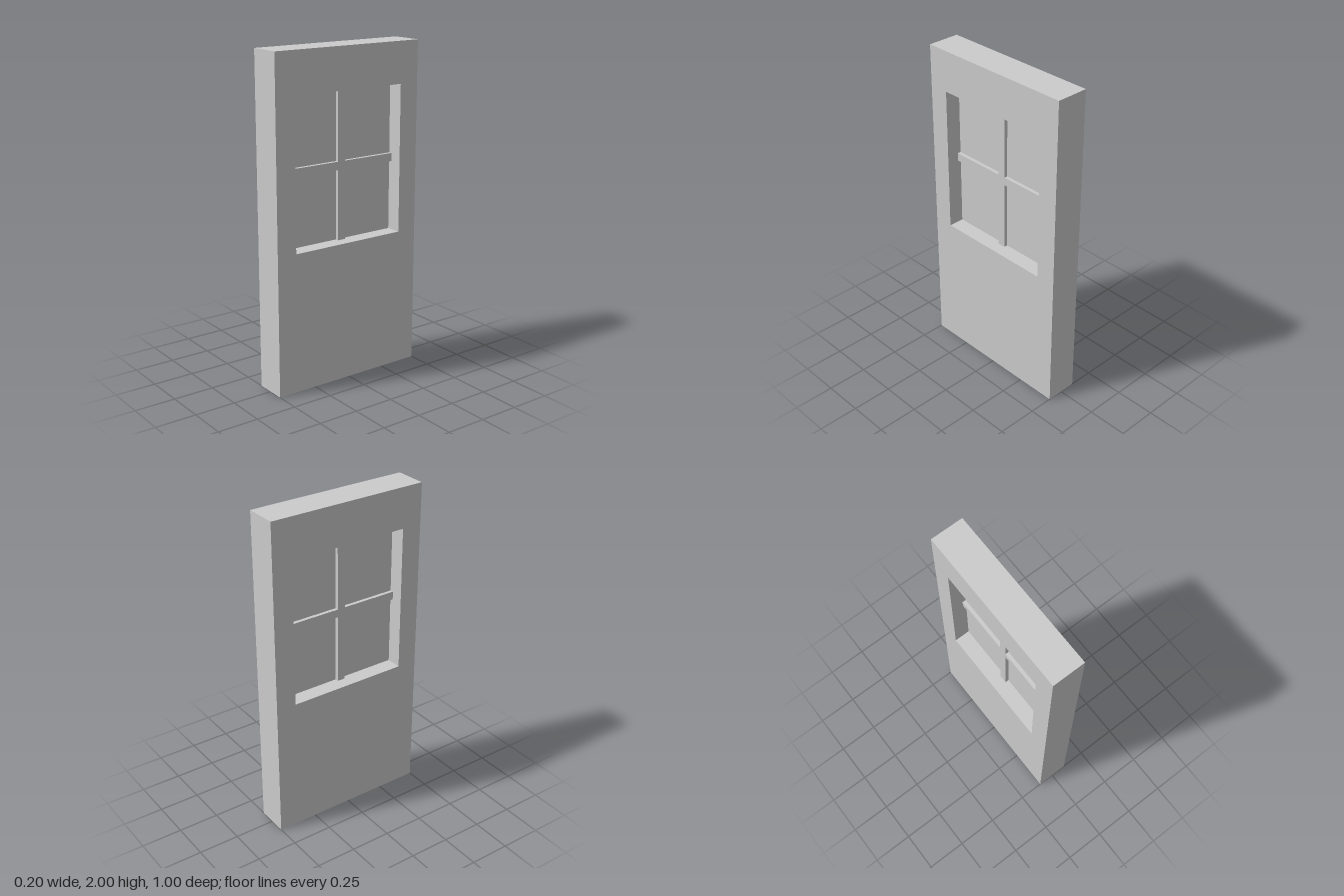
import * as THREE from 'three';

export function createModel() {
  const group = new THREE.Group();
  const material = new THREE.MeshStandardMaterial({ color: 0xcccccc, flatShading: true });

  const add = (name, geometry, y = 0) => {
    const mesh = new THREE.Mesh(geometry, material);
    mesh.name = name;
    mesh.position.y = y;
    group.add(mesh);
  };

  const rectangle = (target, halfWidth, bottom, top) => target
    .moveTo(-halfWidth, bottom).lineTo(halfWidth, bottom)
    .lineTo(halfWidth, top).lineTo(-halfWidth, top).closePath();

  // Door slab with the window opening cut through its thickness
  const thickness = 0.2;
  const slab = rectangle(new THREE.Shape(), 0.5, 0, 2);
  slab.holes.push(rectangle(new THREE.Path(), 0.375, 0.85, 1.75));
  const slabGeometry = new THREE.ExtrudeGeometry(slab, { depth: thickness, bevelEnabled: false });
  slabGeometry.translate(0, 0, -thickness / 2).rotateY(Math.PI / 2);
  add('doorSlab', slabGeometry);

  // Thin pane in the middle of the opening, crossed by two glazing bars
  const windowY = 1.3;
  add('windowPane', new THREE.BoxGeometry(0.006, 0.9, 0.75), windowY);
  add('horizontalGlazingBar', new THREE.BoxGeometry(0.05, 0.05, 0.75), windowY);
  for (const side of [-1, 1]) {
    add(side > 0 ? 'upperGlazingBar' : 'lowerGlazingBar',
      new THREE.BoxGeometry(0.05, 0.425, 0.05), windowY + side * 0.2375);
  }

  return group;
}
